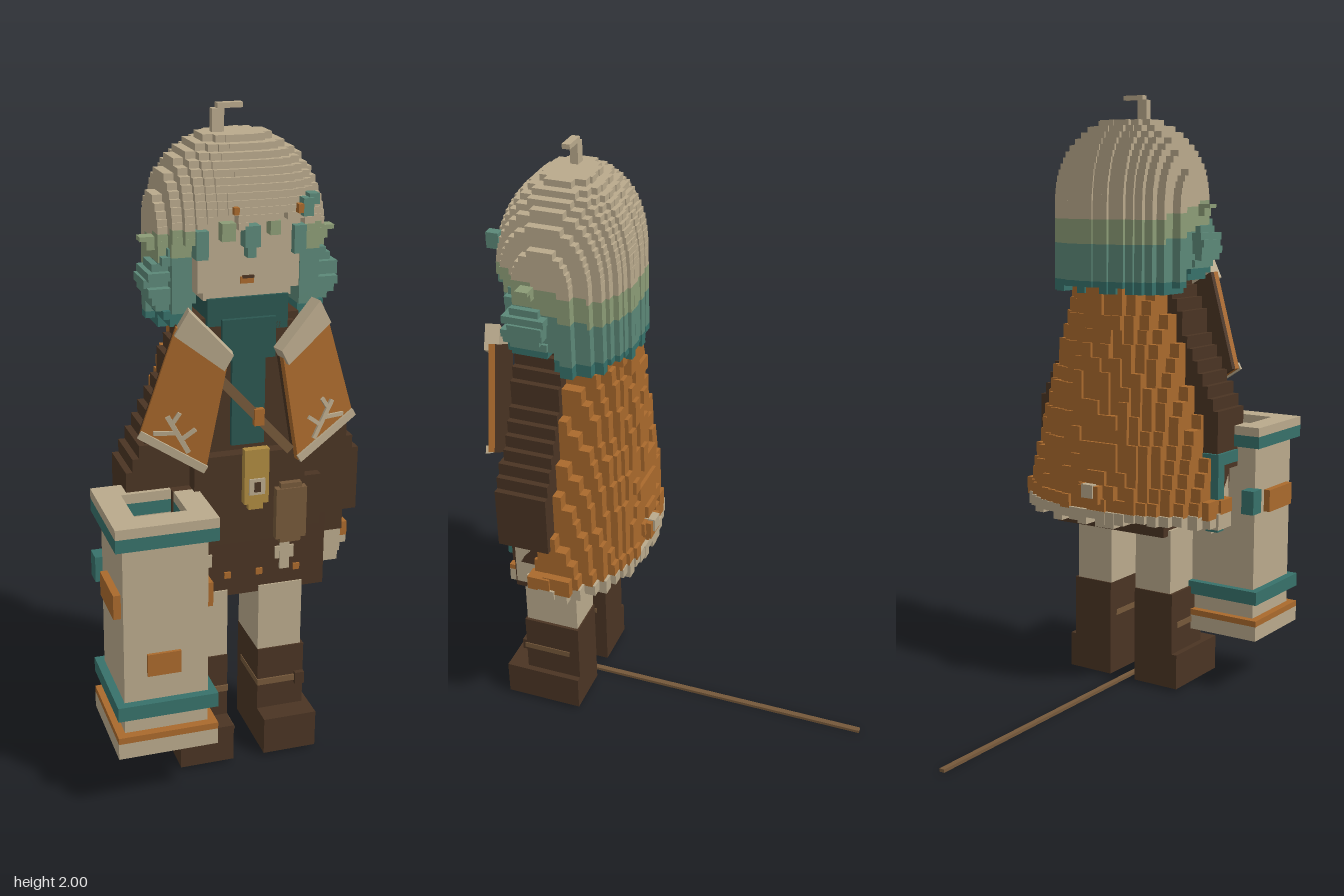
import * as THREE from 'three';
import { mergeGeometries } from 'three/addons/utils/BufferGeometryUtils.js';

const mat = (name, color, side = THREE.FrontSide) => {
  const m = new THREE.MeshStandardMaterial({ color, side });
  m.name = name;
  return m;
};

export function createModel() {
  const root = new THREE.Group();
  root.name = 'figure';
  const M = {
    beige: mat('beige', 0xb9a98c), sage: mat('sage', 0x8c9c76),
    seafoam: mat('seafoam', 0x5c8878), teal: mat('teal', 0x37716a),
    scarf: mat('deepTeal', 0x2a5650), orange: mat('orange', 0xa9692c),
    brown: mat('darkBrown', 0x4a3423), leather: mat('leather', 0x75583a),
    gold: mat('gold', 0xae8a40),
  };
  let seed = 7;
  const rnd = () => (seed = (seed * 16807) % 2147483647) / 2147483647;
  const CX = 0.04;

  // One box from its limits
  const box = ([x0, x1, y0, y1, z0, z1]) =>
    new THREE.BoxGeometry(x1 - x0, y1 - y0, z1 - z0)
      .translate((x0 + x1) / 2, (y0 + y1) / 2, (z0 + z1) / 2);
  const add = (name, material, geometry, parent = root) => {
    const mesh = new THREE.Mesh(geometry, material);
    mesh.name = name;
    parent.add(mesh);
    return mesh;
  };
  const boxes = (name, material, list, parent) =>
    add(name, material, mergeGeometries(list.map(box)), parent);
  const mirror = ([x0, x1, ...r]) => [2 * CX - x1, 2 * CX - x0, ...r];
  const both = (list) => [...list, ...list.map(mirror)];

  // Legs and boots
  boxes('legs', M.beige, both([[0.09, 0.23, 0.34, 0.56, 0.27, 0.455]]));
  boxes('boots', M.brown, both([
    [0.09, 0.24, 0.01, 0.34, 0.265, 0.46], [0.09, 0.26, 0.01, 0.13, 0.265, 0.53],
  ]));
  boxes('bootStraps', M.leather, both([[0.088, 0.243, 0.215, 0.235, 0.3, 0.465]]));
  boxes('bootBuckles', M.brown, [[0.21, 0.24, 0.205, 0.245, 0.46, 0.475], [-0.16, -0.13, 0.205, 0.245, 0.46, 0.475]]);

  // Coat with sleeves that widen downwards in steps
  const coat = [
    [-0.14, 0.3, 0.54, 0.78, 0.24, 0.45], [-0.2, 0.28, 0.6, 0.74, 0.15, 0.42],
    [-0.13, 0.21, 0.74, 1.02, 0.3, 0.5], [-0.19, 0.27, 0.76, 0.92, 0.3, 0.48],
    [-0.1, 0.18, 1.02, 1.4, 0.25, 0.46],
  ];
  const halfWidth = (y) => THREE.MathUtils.lerp(0.35, 0.15, Math.max(0, (y - 0.95) / 0.45));
  for (let y = 0.78; y < 1.39; y += 0.04) {
    const w = Math.round(halfWidth(y) / 0.02) * 0.02;
    coat.push([CX - w, CX + w, y, y + 0.04, 0.28, y < 1.06 ? 0.45 : 0.44]);
  }
  coat.push(...both([[0.3, 0.37, 0.7, 0.78, 0.3, 0.42]]));
  boxes('coat', M.brown, coat);
  boxes('hands', M.beige, both([[0.28, 0.37, 0.62, 0.8, 0.32, 0.41], [0.32, 0.38, 0.57, 0.66, 0.28, 0.37]]));

  // Cape: stepped columns around the back, with a ragged pale hem
  const cape = [], hem = [], cell = 0.036;
  const capeBack = (x, y) => {
    const w = THREE.MathUtils.lerp(0.365, 0.15, Math.min(1, Math.pow((y - 0.62) / 0.76, 1.15)));
    const u = Math.abs(x - CX) / w;
    if (u >= 1) return null;
    return 0.3 - THREE.MathUtils.lerp(0.225, 0.185, (y - 0.62) / 0.76) * Math.sqrt(1 - Math.pow(u, 2.4));
  };
  for (let i = -10; i <= 10; i++) {
    const x = CX + i * cell, low = 0.62 + rnd() * 0.03;
    for (let k = 0; k < 16; k++) {
      const y = 0.64 + k * 0.0465;
      const z = capeBack(x, y);
      if (z === null) continue;
      const zb = Math.round((z + (rnd() - 0.5) * 0.014) / 0.012) * 0.012;
      const front = 0.285 + Math.max(0, 0.9 - y) * 0.25;
      cape.push([x - cell / 2, x + cell / 2, y, y + 0.0465, Math.min(zb, front - 0.02), front]);
    }
    const z = capeBack(x, 0.63);
    if (z !== null) hem.push([x - cell / 2, x + cell / 2, low - 0.03, 0.645, z - 0.005, Math.min(z + 0.1, 0.345)]);
  }
  cape.push(...both([[0.385, 0.41, 0.63, 0.69, 0.21, 0.3]]), [0.0, 0.08, 0.67, 0.73, 0.055, 0.1]);
  boxes('cape', M.orange, cape);
  boxes('capeHem', M.beige, [...hem, ...both([[0.37, 0.41, 0.6, 0.63, 0.22, 0.3]]), [0.018, 0.062, 0.69, 0.735, 0.047, 0.09]]);

  // Front flaps of the cape, tilted outwards, with collar, hem and motif
  const plate = (pts, depth) => new THREE.ExtrudeGeometry(
    new THREE.Shape(pts.map((p) => new THREE.Vector2(...p))), { depth, bevelEnabled: false });
  const stroke = (x0, y0, x1, y1, w, d) =>
    new THREE.BoxGeometry(Math.hypot(x1 - x0, y1 - y0), w, d)
      .rotateZ(Math.atan2(y1 - y0, x1 - x0)).translate((x0 + x1) / 2, (y0 + y1) / 2, d / 2);
  for (const s of [1, -1]) {
    const flap = new THREE.Group();
    flap.name = s > 0 ? 'leftFlap' : 'rightFlap';
    const outline = [[0.06, -0.23], [0.14, -0.26], [0.245, -0.13], [0.33, -0.14], [0.14, 0.19], [0.065, 0.13]];
    const pts = [[0.14, -0.25], [0.33, -0.14], [0.225, 0.18], [0.075, 0.1]];
    const m = (list) => list.map(([x, y]) => [s * x, y]);
    add('flapCloth', M.orange, plate(m(pts), 0.02), flap);
    add('flapLining', M.brown, plate(m(pts), 0.015).translate(0, 0, -0.015), flap);
    add('flapCollar', M.beige, plate(m([[0.065, 0.1], [0.09, 0.055], [0.23, 0.16], [0.19, 0.23]]), 0.045)
      .translate(0, 0, -0.01), flap);
    const line = (a, b, c, d, w) => stroke(s * a, b, s * c, d, w, 0.008).translate(0, 0, 0.019);
    add('flapTrim', M.beige, mergeGeometries([
      line(0.14, -0.245, 0.33, -0.132, 0.024), line(0.19, -0.19, 0.25, -0.08, 0.014),
      line(0.21, -0.15, 0.17, -0.12, 0.012), line(0.22, -0.13, 0.29, -0.13, 0.012),
      line(0.235, -0.1, 0.215, -0.07, 0.012),
    ]), flap);
    flap.position.set(CX, 1.24, 0.53);
    flap.rotation.y = s * 0.22;
    root.add(flap);
  }

  // Scarf, strap, clasp, pouch and pale crosses
  boxes('scarf', M.scarf, [
    [-0.08, 0.16, 1.38, 1.48, 0.27, 0.46], [-0.04, 0.12, 1.3, 1.42, 0.4, 0.475], [-0.01, 0.09, 1.04, 1.36, 0.42, 0.475],
  ]);
  add('strap', M.leather, stroke(-0.075, 1.28, 0.16, 1.02, 0.028, 0.02).translate(0, 0, 0.49));
  boxes('clasp', M.gold, [[0.015, 0.09, 0.87, 1.04, 0.5, 0.525], [0.03, 0.075, 0.85, 0.88, 0.5, 0.52]]);
  boxes('claspInset', M.beige, [[0.028, 0.077, 0.9, 0.95, 0.525, 0.53]]);
  boxes('claspPin', M.brown, [[0.043, 0.062, 0.91, 0.94, 0.53, 0.534]]);
  boxes('strapBuckle', M.orange, [[0.045, 0.075, 1.11, 1.16, 0.5, 0.518]]);
  boxes('pouch', M.leather, [[0.115, 0.21, 0.745, 0.905, 0.44, 0.525], [0.13, 0.195, 0.73, 0.92, 0.44, 0.52]]);
  boxes('crosses', M.beige, both([[0.155, 0.185, 0.61, 0.72, 0.445, 0.458], [0.14, 0.2, 0.645, 0.685, 0.445, 0.456]]));
  boxes('coatStuds', M.orange, both([[0.2, 0.22, 0.6, 0.62, 0.445, 0.456], [0.08, 0.1, 0.6, 0.62, 0.445, 0.456]]));

  // Head
  boxes('face', M.beige, [[-0.11, 0.19, 1.5, 1.75, 0.3, 0.46], [-0.09, 0.17, 1.475, 1.5, 0.3, 0.45]]);
  boxes('mouth', M.orange, [[0.015, 0.055, 1.52, 1.54, 0.459, 0.464]]);
  boxes('mouthShade', M.brown, [[0.02, 0.055, 1.535, 1.543, 0.46, 0.466]]);

  // Hair in thin stepped layers that fade from beige to teal
  const hair = { beige: [], sage: [], seafoam: [], teal: [] };
  const shade = (y, z) => {
    const edge = 1.57 + (z - 0.1) * 0.3;
    return y > edge ? 'beige' : y > edge - 0.075 ? 'sage' : y > 1.39 ? 'seafoam' : 'teal';
  };
  const cuts = [0, 0.18, 0.26, 0.34, 0.42, 1], step = 0.029, dy = 0.02;
  for (let i = -8; i <= 8; i++) {
    const x = CX + i * step, a = Math.abs(i) * step;
    const bottom = 1.33 + rnd() * 0.045, fringe = 1.66 + rnd() * 0.05, jitter = (rnd() - 0.5) * 0.012;
    for (let y = 1.34; y < 1.91; y += dy) {
      if (y < bottom) continue;
      const t = Math.max(0, (y - 1.62) / 0.3);
      const s = Math.sqrt(1 - Math.pow(t, 2.4)), u = a / (0.25 * s);
      if (u >= 1) continue;
      const zb = 0.3 - 0.2 * s * Math.sqrt(1 - Math.pow(u, 2.6)) + jitter;
      let zf = 0.3 + 0.2 * s * Math.sqrt(1 - Math.pow(u, 4));
      if (a < 0.15 && y < fringe) zf = 0.35;
      else if (y < 1.64) zf = Math.min(zf, y < 1.42 ? 0.32 : 0.44);
      if (y < 1.44) zf = Math.min(zf, 0.26 + 0.03 * (i & 1));
      for (let c = 0; c < 5; c++) {
        const z0 = Math.max(zb, cuts[c]), z1 = Math.min(zf, cuts[c + 1]);
        if (z1 - z0 > 0.002) hair[shade(y, (z0 + z1) / 2)].push([x - step / 2, x + step / 2, y, y + dy, z0, z1]);
      }
    }
  }
  // Curling side locks
  for (let k = 0; k < 10; k++) {
    const y = 1.4 + k * 0.022, out = 0.215 + 0.065 * Math.sin((k / 9) * Math.PI) + rnd() * 0.015;
    hair[k < 2 ? 'teal' : 'seafoam'].push(...both([[CX + 0.16, CX + out, y, y + 0.024, 0.29 + rnd() * 0.03, 0.4 + rnd() * 0.03]]));
  }
  hair.sage.push(...both([[0.27, 0.33, 1.635, 1.648, 0.33, 0.37], [0.28, 0.31, 1.61, 1.635, 0.33, 0.37]]));
  // Fringe tips
  hair.seafoam.push([0.015, 0.06, 1.63, 1.69, 0.46, 0.5], [0.025, 0.05, 1.6, 1.63, 0.46, 0.495],
    ...both([[0.165, 0.2, 1.6, 1.68, 0.44, 0.485]]));
  hair.sage.push([-0.05, -0.01, 1.65, 1.7, 0.46, 0.495], [0.09, 0.12, 1.66, 1.7, 0.46, 0.495]);
  // Curled tuft on the crown
  hair.beige.push([-0.025, 0.01, 1.9, 1.985, 0.295, 0.32], [-0.01, 0.065, 1.985, 2, 0.295, 0.32]);
  for (const key in hair) boxes(key + 'Hair', M[key], hair[key]);
  boxes('hairClip', M.seafoam, [[0.18, 0.21, 1.71, 1.76, 0.47, 0.51], [0.2, 0.23, 1.74, 1.77, 0.46, 0.5]]);
  boxes('hairClipBead', M.orange, [[0.165, 0.18, 1.72, 1.745, 0.49, 0.512], [-0.02, -0.005, 1.725, 1.745, 0.49, 0.508]]);

  // Lantern: stacked hollow square rings
  const lantern = new THREE.Group();
  lantern.name = 'lantern';
  const ring = (name, material, half, y0, y1) => {
    const sq = (h, P) => new P([[-h, -h], [h, -h], [h, h], [-h, h]].map((p) => new THREE.Vector2(...p)));
    const shape = sq(half, THREE.Shape);
    shape.holes.push(sq(0.076, THREE.Path));
    add(name, material, new THREE.ExtrudeGeometry(shape, { depth: y1 - y0, bevelEnabled: false })
      .rotateX(-Math.PI / 2).translate(-0.263, y0, 0.54), lantern);
  };
  ring('lanternBase', M.beige, 0.15, 0.19, 0.24);
  ring('lanternOrangeBand', M.orange, 0.15, 0.24, 0.26);
  ring('lanternBody', M.beige, 0.125, 0.26, 0.85);
  ring('lanternLowerBand', M.teal, 0.15, 0.315, 0.36);
  ring('lanternUpperBand', M.teal, 0.15, 0.85, 0.89);
  ring('lanternLip', M.beige, 0.15, 0.89, 0.92);
  boxes('lanternPlates', M.orange, [
    [-0.32, -0.22, 0.44, 0.51, 0.655, 0.674], [-0.14, -0.115, 0.62, 0.695, 0.48, 0.64],
    [-0.41, -0.385, 0.62, 0.695, 0.48, 0.64], [-0.33, -0.2, 0.5, 0.7, 0.46, 0.545],
  ], lantern);
  boxes('lanternFittings', M.teal, [
    [-0.41, -0.365, 0.63, 0.71, 0.365, 0.42], [-0.33, -0.2, 0.52, 0.68, 0.545, 0.565],
    [-0.33, -0.285, 0.58, 0.84, 0.27, 0.31], [-0.33, -0.27, 0.8, 0.84, 0.27, 0.4],
  ], lantern);
  root.add(lantern);

  // Thin rod lying on the ground
  boxes('rod', M.leather, [[0.032, 0.05, 0, 0.01, -0.69, 0.36]]);
  return root;
}
